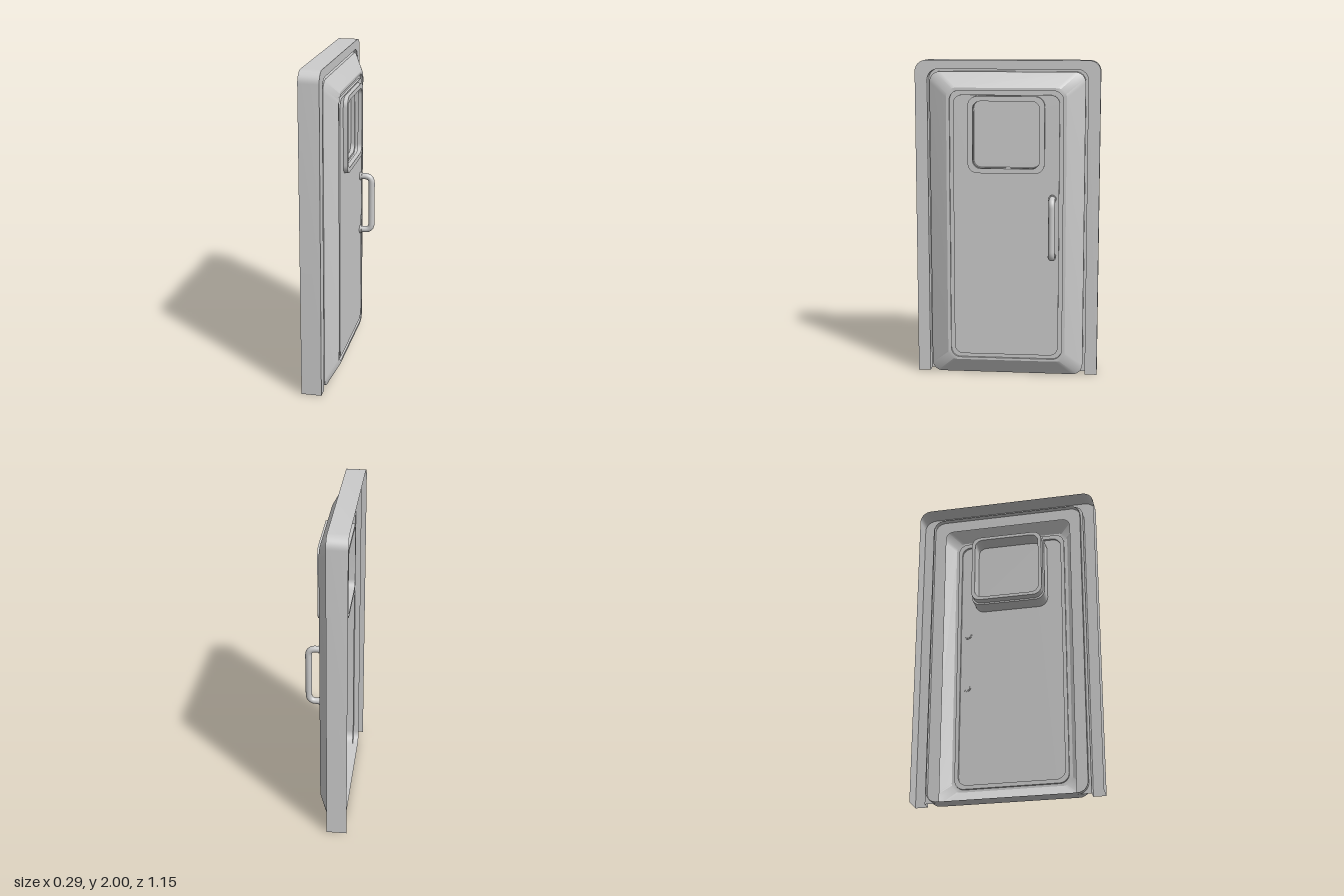
import * as THREE from 'three';
import { toCreasedNormals } from 'three/addons/utils/BufferGeometryUtils.js';

const solid = new THREE.MeshStandardMaterial({ color: 0xcccccc });
const sheet = new THREE.MeshStandardMaterial({ color: 0xcccccc, side: THREE.DoubleSide });
const STEPS = 8;

// Rounded rectangle at depth x, counter-clockwise seen from +x.
// An arch has no bottom side and square feet.
function loop([x, halfWidth, y0, y1, r], arch = false) {
  const pts = [];
  const corner = (z, y, radius, start) => {
    for (let i = 0; i <= STEPS; i++) {
      const a = start + (i / STEPS) * Math.PI / 2;
      pts.push(new THREE.Vector3(x, y + radius * Math.sin(a), -(z + radius * Math.cos(a))));
    }
  };
  const w = halfWidth - r;
  if (arch) pts.push(new THREE.Vector3(x, y0, -halfWidth));
  else corner(w, y0 + r, r, -Math.PI / 2);
  corner(w, y1 - r, r, 0);
  corner(-w, y1 - r, r, Math.PI / 2);
  if (arch) pts.push(new THREE.Vector3(x, y0, halfWidth));
  else corner(-w, y0 + r, r, Math.PI);
  return pts;
}

// Skin through a row of loops
function loft(sections, arch = false) {
  const loops = sections.map((s) => loop(s, arch));
  const n = loops[0].length;
  const index = [];
  for (let j = 0; j < loops.length - 1; j++) {
    for (let i = 0; i < (arch ? n - 1 : n); i++) {
      const k = (i + 1) % n;
      const a = j * n + i, b = j * n + k, c = (j + 1) * n + k, d = (j + 1) * n + i;
      index.push(a, b, c, a, c, d);
    }
  }
  const geo = new THREE.BufferGeometry().setFromPoints(loops.flat());
  geo.setIndex(index);
  return toCreasedNormals(geo, 0.45);
}

export function createModel() {
  const group = new THREE.Group();
  const add = (name, geo, mat, parent = group) => {
    const mesh = new THREE.Mesh(geo, mat);
    mesh.name = name;
    parent.add(mesh);
    return mesh;
  };

  // Door frame, open at the floor: outer wall, front flange, return and door stop
  add('doorFrame', loft([
    [-0.143, 0.577, 0, 2, 0.07],
    [-0.018, 0.577, 0, 2, 0.07],
    [-0.018, 0.5, 0, 1.945, 0.065],
    [-0.085, 0.5, 0, 1.945, 0.065],
    [-0.085, 0.412, 0, 1.857, 0.05],
  ], true), sheet);

  // Door leaf: edge reaching back, bevel, flat border, groove and
  // panel around the window opening
  add('doorLeaf', loft([
    [-0.12, 0.485, 0, 1.93, 0.065],
    [-0.018, 0.485, 0, 1.93, 0.065],
    [0.0465, 0.373, 0.1, 1.835, 0.06],
    [0.0465, 0.353, 0.115, 1.818, 0.06],
    [0.032, 0.353, 0.115, 1.818, 0.06],
    [0.032, 0.33, 0.14, 1.792, 0.055],
    [0.0465, 0.33, 0.14, 1.792, 0.055],
    [0.0465, 0.238, 1.31, 1.785, 0.06],
  ]), sheet);

  // Window: deep surround with a stepped back, a grooved reveal and a recessed pane
  const windowGroup = new THREE.Group();
  windowGroup.name = 'window';
  windowGroup.position.z = -0.001;
  group.add(windowGroup);
  add('windowSurround', loft([
    [-0.11, 0.207, 1.34, 1.755, 0.048],
    [-0.11, 0.228, 1.32, 1.775, 0.055],
    [-0.06, 0.228, 1.32, 1.775, 0.055],
    [-0.06, 0.238, 1.31, 1.785, 0.06],
    [0.072, 0.238, 1.31, 1.785, 0.06],
    [0.072, 0.207, 1.34, 1.755, 0.048],
    [0.045, 0.207, 1.34, 1.755, 0.048],
    [0.045, 0.22, 1.327, 1.768, 0.052],
    [0.025, 0.22, 1.327, 1.768, 0.052],
    [0.025, 0.207, 1.34, 1.755, 0.048],
    [-0.11, 0.207, 1.34, 1.755, 0.048],
  ]), sheet, windowGroup);
  const outline = loop([0, 0.207, 1.34, 1.755, 0.048]).map((p) => new THREE.Vector2(-p.z, p.y));
  const pane = add('windowPane', new THREE.ShapeGeometry(new THREE.Shape(outline)), sheet, windowGroup);
  pane.rotation.y = Math.PI / 2;

  // Pull handle: bent bar on two round bases
  const handle = new THREE.Group();
  handle.name = 'handle';
  handle.position.z = -0.288;
  group.add(handle);
  const low = 0.785, high = 1.15, out = 0.123, bend = 0.045;
  const v = (x, y) => new THREE.Vector3(x, y, 0);
  const path = new THREE.CurvePath();
  path.add(new THREE.LineCurve3(v(0.04, low), v(out - bend, low)));
  path.add(new THREE.QuadraticBezierCurve3(v(out - bend, low), v(out, low), v(out, low + bend)));
  path.add(new THREE.LineCurve3(v(out, low + bend), v(out, high - bend)));
  path.add(new THREE.QuadraticBezierCurve3(v(out, high - bend), v(out, high), v(out - bend, high)));
  path.add(new THREE.LineCurve3(v(out - bend, high), v(0.04, high)));
  add('handleBar', new THREE.TubeGeometry(path, 64, 0.02, 16), solid, handle);
  for (const y of [low, high]) {
    const base = add('handleBase', new THREE.CylinderGeometry(0.026, 0.026, 0.016, 24), solid, handle);
    base.rotation.z = -Math.PI / 2;
    base.position.set(0.052, y, 0);
  }

  return group;
}
